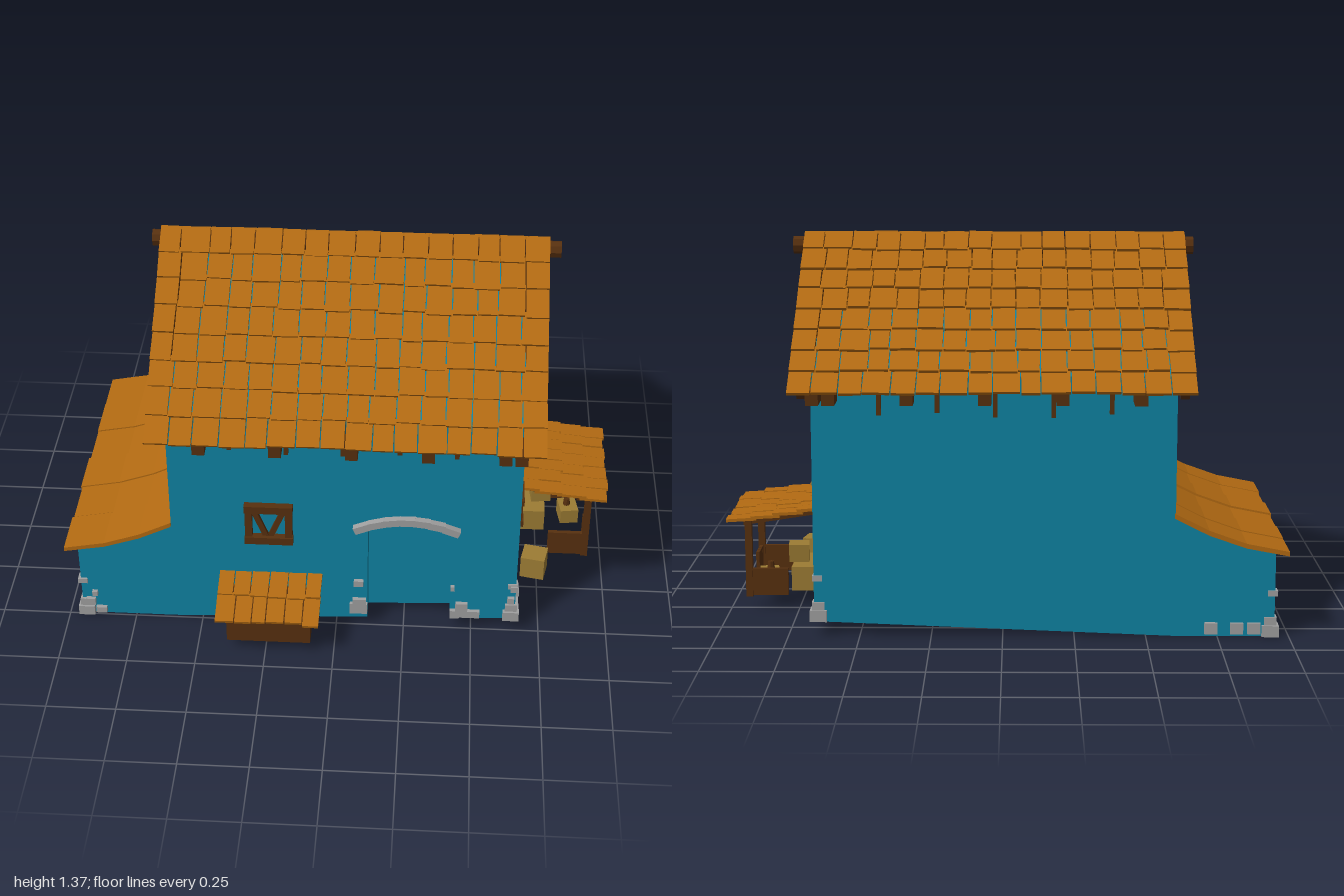
import * as THREE from 'three';
import { mergeGeometries } from 'three/addons/utils/BufferGeometryUtils.js';

const mat = (color) => new THREE.MeshStandardMaterial({ color, flatShading: true });
const PLASTER = mat(0x0f83a3), ROOF = mat(0xb26a12), WOOD = mat(0x57300f), CRATE = mat(0x9c7c34), STONE = mat(0xa0a0a0);

let seed = 7;
const rnd = (a, b) => {
  seed = (seed * 16807) % 2147483647;
  return a + (b - a) * (seed / 2147483647);
};

export function createModel() {
  const root = new THREE.Group();

  const add = (name, geo, material, parent = root) => {
    const m = new THREE.Mesh(geo, material);
    m.name = name;
    parent.add(m);
    return m;
  };
  // Box given by its extents
  const box = (name, material, x0, x1, y0, y1, z0, z1) => {
    const m = add(name, new THREE.BoxGeometry(x1 - x0, y1 - y0, z1 - z0), material);
    m.position.set((x0 + x1) / 2, (y0 + y1) / 2, (z0 + z1) / 2);
    return m;
  };
  // Square beam between two points
  const beam = (name, material, a, b, w, h) => {
    const p = new THREE.Vector3(...a), q = new THREE.Vector3(...b);
    const m = add(name, new THREE.BoxGeometry(w, h, p.distanceTo(q)), material);
    m.position.copy(p).lerp(q, 0.5);
    m.lookAt(q);
    return m;
  };
  const shapeOf = (pts) => new THREE.Shape(pts.map(([x, y]) => new THREE.Vector2(x, y)));
  // Outline in x, y pushed along z
  const alongZ = (name, material, pts, z0, z1) => {
    const m = add(name, new THREE.ExtrudeGeometry(shapeOf(pts), { depth: z1 - z0, bevelEnabled: false }), material);
    m.position.z = z0;
    return m;
  };
  // Outline in z, y pushed along x
  const alongX = (name, material, shape, x0, x1) => {
    const m = add(name, new THREE.ExtrudeGeometry(shape, { depth: x1 - x0, bevelEnabled: false }), material);
    m.rotation.y = -Math.PI / 2;
    m.position.x = x1;
    return m;
  };
  // Overlapping rows of uneven shingles running down local +z
  const shingles = (name, width, length, rows, cols, top, pitch, turn) => {
    const parts = [], cw = width / cols, rl = length / rows;
    for (let r = 0; r < rows; r++) {
      const cuts = [-width / 2];
      for (let c = 1; c < cols; c++) cuts.push(-width / 2 + c * cw + rnd(-0.12, 0.12) * cw);
      cuts.push(width / 2);
      for (let c = 0; c < cols; c++) {
        const over = r === 0 ? 0 : 0.02, l = rl + over + rnd(-0.006, 0.006);
        const g = new THREE.BoxGeometry(cuts[c + 1] - cuts[c] - 0.004, 0.011, l);
        g.rotateX(-0.09 + rnd(-0.015, 0.015));
        g.rotateY(rnd(-0.02, 0.02));
        g.translate((cuts[c] + cuts[c + 1]) / 2, rnd(-0.002, 0.002), r * rl - over + l / 2);
        parts.push(g);
      }
    }
    const m = add(name, mergeGeometries(parts), ROOF);
    m.rotation.set(pitch, turn, 0, 'YXZ');
    m.position.set(...top);
    return m;
  };

  // Walls: lower block with sloping floor, front wall with door recess, upper block
  const leanTop = [[-0.6, 0.43], [-0.72, 0.37], [-0.84, 0.325], [-0.95, 0.3]];
  const sill = [[-0.95, 0], [-0.6, 0]], upper = [[0.66, 0.05], [0.66, 0.6], [-0.6, 0.6]];
  alongZ('lowerWalls', PLASTER, [...sill, ...upper, ...leanTop], -0.59, 0.41);
  const doorway = [[0.115, 0.028], [0.115, 0.44], [0.19, 0.47], [0.265, 0.48], [0.345, 0.47], [0.42, 0.44], [0.42, 0.041]];
  alongZ('frontWall', PLASTER, [...sill, ...doorway, ...upper, ...leanTop], 0.41, 0.49);
  alongX('upperWalls', PLASTER, shapeOf([[-0.59, 0.6], [0.49, 0.6], [0.49, 0.92], [0.345, 1.03], [-0.445, 1.03], [-0.59, 0.92]]), -0.6, 0.66);
  box('door', PLASTER, 0.135, 0.42, 0.06, 0.445, 0.41, 0.42);

  // Board gables with broken holes
  const holes = [[0.03, 0.08, 1.03, 1.085], [-0.19, -0.08, 1.035, 1.08], [-0.27, -0.245, 1.04, 1.1], [-0.08, -0.03, 1.13, 1.19], [0.14, 0.19, 1.035, 1.065]];
  for (const [x0, x1] of [[0.655, 0.675], [-0.615, -0.595]]) {
    const s = shapeOf([[-0.52, 0.98], [0.42, 0.98], [-0.05, 1.335]]);
    for (const [a, b, c, d] of holes) {
      const pts = [[a, c], [b, c], [b, d], [a * 0.4 + b * 0.6, d + 0.012], [a * 0.6 + b * 0.4, d - 0.006], [a, d + 0.004]];
      s.holes.push(new THREE.Path(pts.map(([x, y]) => new THREE.Vector2(x, y))));
    }
    alongX('gableBoards', WOOD, s, x0, x1);
    box('gableBeam', WOOD, x0 - 0.005, x1 + 0.005, 0.98, 1.03, -0.5, 0.4);
    for (const dir of [1, -1]) {
      const x = (x0 + x1) / 2 + (x0 > 0 ? 0.02 : -0.015);
      beam('rafter', WOOD, [x, 1.325, -0.05], [x, 0.87, -0.05 + dir * 0.61], 0.03, 0.05);
    }
  }

  // Main roof
  const pitch = Math.atan(0.755);
  shingles('frontRoof', 1.39, 0.815, 8, 16, [0.035, 1.367, -0.05], pitch, 0);
  shingles('backRoof', 1.39, 0.815, 8, 16, [0.035, 1.367, -0.05], pitch, Math.PI);
  const ridge = add('ridgeBeam', new THREE.CylinderGeometry(0.028, 0.028, 1.46, 8), WOOD);
  ridge.rotation.z = Math.PI / 2;
  ridge.scale.x = 1.15;
  ridge.position.set(0.04, 1.318, -0.05);

  // Eave beam ends and hanging pegs
  for (let i = 0; i < 6; i++) {
    const x = i < 5 ? -0.47 + i * 0.265 : 0.645;
    box('eaveBeam', WOOD, x - 0.022, x + 0.022, 0.835, 0.88, -0.69, 0.6);
  }
  for (let i = 0; i < 5; i++) {
    const x = -0.375 + i * 0.2, y = rnd(0.77, 0.8);
    box('eavePeg', WOOD, x - 0.008, x + 0.008, y, 0.93, 0.488, 0.505);
    box('eavePeg', WOOD, x - 0.008, x + 0.008, y, 0.93, -0.605, -0.588);
  }

  // Lean-to roof: curved overlapping panels
  for (let i = 0; i < 6; i++) {
    const z = -0.6 + i * 0.1833;
    const m = alongZ('leanToRoofPanel', ROOF, [[-0.6, 0.425], [-0.72, 0.365], [-0.85, 0.32], [-1, 0.292], [-1, 0.308], [-0.85, 0.337], [-0.72, 0.383], [-0.6, 0.443]], z, z + 0.18);
    m.position.y = rnd(-0.004, 0.004);
    m.position.x = rnd(-0.002, 0.006);
  }

  // Front window with crossed slats
  for (const x of [-0.315, -0.17]) box('windowPost', WOOD, x - 0.013, x + 0.013, 0.39, 0.54, 0.485, 0.512);
  for (const y of [0.395, 0.535]) box('windowRail', WOOD, -0.33, -0.155, y - 0.015, y + 0.015, 0.485, 0.518);
  beam('windowSlat', WOOD, [-0.3, 0.53, 0.497], [-0.25, 0.4, 0.497], 0.014, 0.02);
  beam('windowSlat', WOOD, [-0.185, 0.53, 0.497], [-0.24, 0.4, 0.497], 0.014, 0.02);

  // Side window
  for (const z of [0.215, 0.3]) box('sideWindowPost', WOOD, 0.655, 0.675, 0.35, 0.46, z - 0.013, z + 0.013);
  for (const y of [0.36, 0.455]) box('sideWindowRail', WOOD, 0.655, 0.68, y - 0.012, y + 0.012, 0.197, 0.32);
  box('sideWindowBar', WOOD, 0.655, 0.668, 0.412, 0.426, 0.215, 0.3);

  // Covered bin by the front wall
  box('bin', WOOD, -0.39, -0.085, 0.045, 0.16, 0.48, 0.665);
  shingles('binRoof', 0.38, 0.22, 2, 6, [-0.24, 0.228, 0.49], 0.345, 0);

  // Porch
  shingles('porchRoof', 0.465, 0.345, 4, 7, [0.66, 0.392, -0.0875], 0.16, Math.PI / 2);
  for (const z of [0.095, -0.25]) {
    box('porchPost', WOOD, 0.92, 0.945, 0.045, 0.335, z - 0.012, z + 0.012);
    beam('porchRafter', WOOD, [0.66, 0.37, z], [0.95, 0.325, z], 0.02, 0.022);
    box('porchSidePanel', WOOD, 0.79, 0.935, 0.05, 0.15, z - 0.008, z + 0.008);
  }
  box('porchBeam', WOOD, 0.92, 0.945, 0.318, 0.34, -0.27, 0.11);
  for (let i = 0; i < 3; i++) box('porchFrontBoard', WOOD, 0.927, 0.94, 0.05, 0.15, -0.023 + i * 0.038, 0.013 + i * 0.038);

  // Crates
  box('outerCrate', CRATE, 0.69, 0.78, 0.06, 0.15, 0.185, 0.27).rotation.y = -0.2;
  box('largeCrate', CRATE, 0.69, 0.78, 0.06, 0.15, -0.235, -0.025);
  box('stackedCrate', CRATE, 0.725, 0.8, 0.15, 0.215, -0.165, -0.09).rotation.y = 0.1;
  box('smallCrate', CRATE, 0.84, 0.91, 0.055, 0.115, -0.165, -0.08).rotation.y = 0.15;
  const jar = add('jar', new THREE.CylinderGeometry(0.011, 0.014, 0.028, 8), WOOD);
  jar.position.set(0.87, 0.129, -0.125);

  // Stone arch over the door
  for (let i = 0; i < 7; i++) {
    const t = (i - 3) / 3;
    const s = add('archStone', new THREE.BoxGeometry(0.062, 0.028, 0.045), STONE);
    s.position.set(0.255 + t * 0.16, 0.498 - t * t * 0.035, 0.492);
    s.rotation.z = -t * 0.36 + rnd(-0.04, 0.04);
  }

  // Stones on the front wall: x0, x1, y0, y1
  for (const [a, b, c, d] of [[0.05, 0.115, 0.055, 0.1], [0.06, 0.11, 0.1, 0.122], [0.065, 0.1, 0.185, 0.21], [0.42, 0.435, 0.18, 0.2],
    [0.44, 0.485, 0.055, 0.12], [0.485, 0.53, 0.055, 0.085], [0.42, 0.455, 0.05, 0.085], [0.63, 0.655, 0.13, 0.155], [0.64, 0.668, 0.185, 0.21],
    [-0.9, -0.86, 0.01, 0.035], [-0.935, -0.9, 0.045, 0.075], [-0.91, -0.89, 0.09, 0.11]])
    box('frontStone', STONE, a, b, c, d, 0.475, 0.505);
  // Stones on the side wall: z0, z1, y0, y1
  for (const [a, b, c, d] of [[-0.405, -0.335, 0.05, 0.085], [-0.42, -0.37, 0.1, 0.125], [-0.385, -0.35, 0.18, 0.197], [-0.46, -0.415, 0.055, 0.08],
    [0.4, 0.45, 0.055, 0.082], [0.43, 0.46, 0.13, 0.148]])
    box('sideStone', STONE, 0.645, 0.674, c, d, a, b);
  // Stones on the lean-to back and end walls
  for (const x of [-0.9, -0.84, -0.75]) box('backStone', STONE, x, x + 0.045, 0.01, 0.05, -0.605, -0.58);
  for (const z of [-0.53, -0.47, 0.4]) box('endStone', STONE, -0.962, -0.94, 0.02, 0.05, z, z + 0.04);
  // Corner stacks: x, z, floor height
  for (const [x, z, y] of [[0.64, 0.475, 0.05], [0.64, -0.57, 0.05], [-0.93, 0.475, 0], [-0.93, -0.57, 0]]) {
    const sx = Math.sign(x) * 0.005, sz = Math.sign(z) * 0.005;
    box('cornerStone', STONE, x - 0.03 + sx, x + 0.03 + sx, y, y + 0.04, z - 0.028 + sz, z + 0.028 + sz);
    box('cornerStone', STONE, x - 0.022 + sx, x + 0.022 + sx, y + 0.04, y + 0.07, z - 0.02 + sz, z + 0.02 + sz);
    box('cornerStone', STONE, x - 0.02 + sx * 2, x + 0.015 + sx * 2, y + 0.145, y + 0.165, z - 0.018 + sz, z + 0.018 + sz);
  }

  return root;
}
